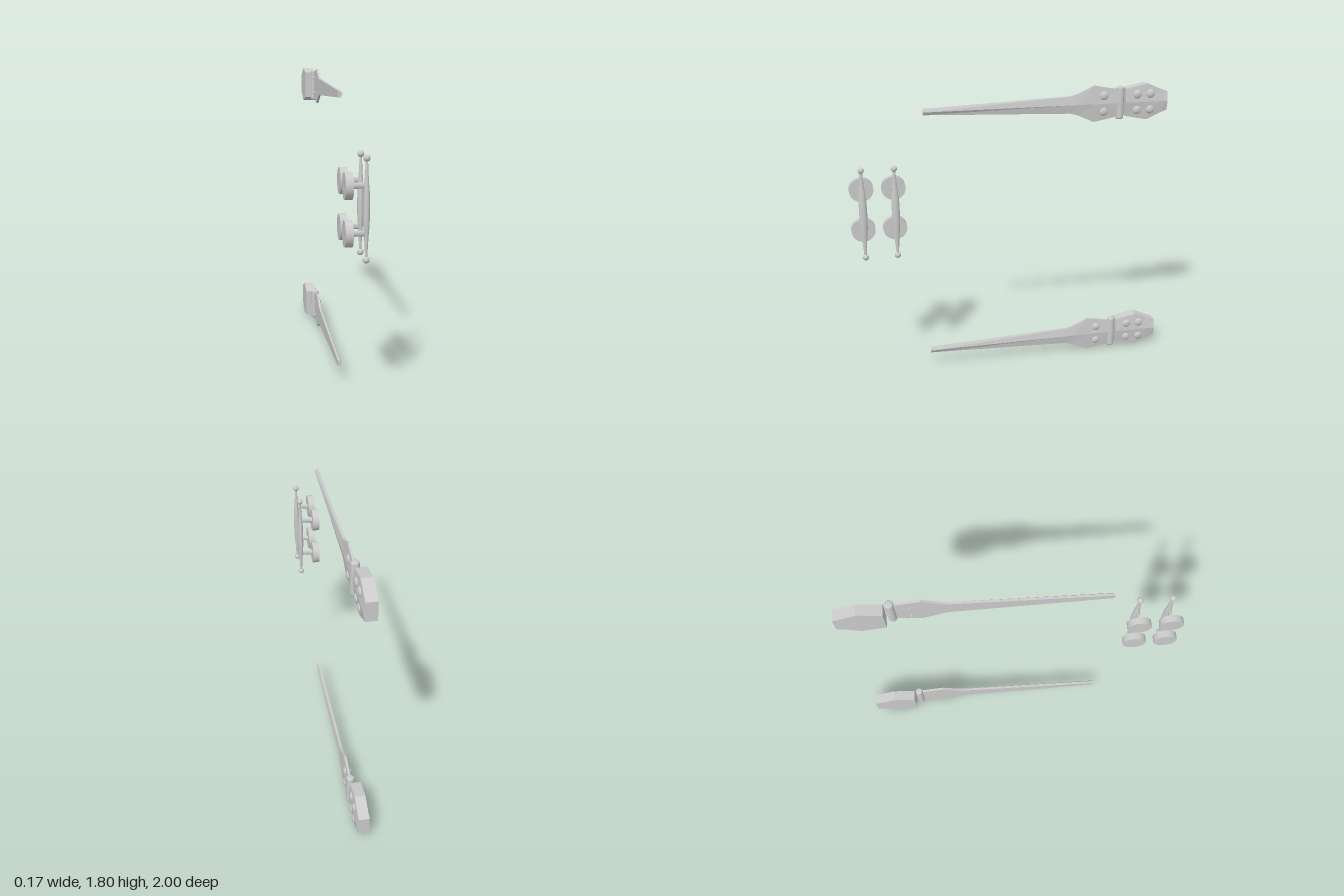
import * as THREE from 'three';

const smooth = new THREE.MeshStandardMaterial({ color: 0xcccccc });
const flat = new THREE.MeshStandardMaterial({ color: 0xcccccc, flatShading: true });

function add(parent, name, geometry, material, x = 0, y = 0, z = 0) {
  const mesh = new THREE.Mesh(geometry, material);
  mesh.name = name;
  mesh.position.set(x, y, z);
  parent.add(mesh);
  return mesh;
}

function lathe(points, segments = 32) {
  return new THREE.LatheGeometry(points.map(([r, y]) => new THREE.Vector2(r, y)), segments);
}

// Loft of [z, halfHeight] stations: flat back, front rising to a low central ridge
function ridgedPlate(stations, back, edge, ridge) {
  const rings = stations.map(([z, h]) => [
    [back, -h, z], [edge, -h, z], [ridge, 0, z], [edge, h, z], [back, h, z], [back, 0, z],
  ]);
  const pos = [];
  const tri = (a, b, c) => pos.push(...a, ...b, ...c);
  for (let i = 0; i < rings.length - 1; i++) {
    const a = rings[i], b = rings[i + 1];
    for (let j = 0; j < 6; j++) {
      const k = (j + 1) % 6;
      tri(a[j], a[k], b[k]);
      tri(a[j], b[k], b[j]);
    }
  }
  // End caps; stations run from +z to -z
  const first = rings[0], last = rings[rings.length - 1];
  for (let j = 0; j < 5; j++) {
    tri(first[5], first[(j + 1) % 6], first[j]);
    tri(last[5], last[j], last[(j + 1) % 6]);
  }
  // Reverse the winding where needed so that faces look outward
  let volume = 0;
  const p = (i) => new THREE.Vector3(pos[i], pos[i + 1], pos[i + 2]);
  for (let i = 0; i < pos.length; i += 9) volume += p(i).dot(p(i + 3).cross(p(i + 6)));
  if (volume < 0) {
    for (let i = 0; i < pos.length; i += 9) {
      for (let c = 0; c < 3; c++) [pos[i + 3 + c], pos[i + 6 + c]] = [pos[i + 6 + c], pos[i + 3 + c]];
    }
  }
  const g = new THREE.BufferGeometry();
  g.setAttribute('position', new THREE.Float32BufferAttribute(pos, 3));
  g.computeVertexNormals();
  return g;
}

function createHinge(name, y) {
  const hinge = new THREE.Group();
  hinge.name = name;
  hinge.position.y = y;

  // Long tapering strap and thick frame block
  add(hinge, 'hingeStrap', ridgedPlate(
    [[0.54, 0.018], [-0.37, 0.053], [-0.42, 0.067], [-0.52, 0.113], [-0.675, 0.085]],
    -0.032, -0.018, -0.008), flat);
  add(hinge, 'hingeBlock', ridgedPlate(
    [[-0.725, 0.085], [-0.865, 0.113], [-0.955, 0.074], [-1, 0.058]],
    -0.085, -0.019, -0.008), flat);

  // Knuckle barrel with rounded ends
  add(hinge, 'hingeBarrel', lathe([
    [0, -0.103], [0.016, -0.102], [0.022, -0.098], [0.025, -0.09],
    [0.025, 0.09], [0.022, 0.098], [0.016, 0.102], [0, 0.103],
  ], 24), smooth, -0.026, 0, -0.69);

  // Domed rivets, with shanks showing behind the strap
  const dome = new THREE.SphereGeometry(0.027, 20, 8, 0, Math.PI * 2, 0, Math.PI / 2);
  dome.scale(1, 0.52, 1).rotateZ(-Math.PI / 2);
  const shank = new THREE.CylinderGeometry(0.005, 0.005, 0.036, 10);
  shank.rotateZ(Math.PI / 2);
  for (const z of [-0.583, -0.8, -0.887]) {
    for (const side of [-1, 1]) {
      add(hinge, 'rivet', dome, smooth, -0.015, side * 0.049, z);
      if (z > -0.7) add(hinge, 'rivetShank', shank, smooth, -0.034, side * 0.049, z);
    }
  }
  return hinge;
}

function createHandle(name, z) {
  const handle = new THREE.Group();
  handle.name = name;
  handle.position.set(0, 1.104, z);

  // Swelling grip, slightly flattened towards the door
  const half = [[0.024, 0], [0.0235, 0.05], [0.022, 0.09], [0.018, 0.125], [0.014, 0.17], [0.0105, 0.22], [0.008, 0.27]];
  const profile = [...half.slice(1).reverse().map(([r, y]) => [r, -y]), ...half];
  const grip = lathe(profile, 24);
  grip.scale(0.75, 1, 1);
  add(handle, 'grip', grip, smooth, 0.065);

  for (const side of [-1, 1]) {
    add(handle, 'endBall', new THREE.SphereGeometry(0.019, 20, 14), smooth, 0.065, side * 0.273, 0);

    // Tapering standoff between rosette and grip
    const post = lathe([[0.02, -0.016], [0.018, -0.004], [0.016, 0.02], [0.016, 0.062]], 20);
    post.rotateZ(-Math.PI / 2);
    const p = post.attributes.position;
    for (let i = 0; i < p.count; i++) {
      const t = THREE.MathUtils.clamp((p.getX(i) + 0.016) / 0.05, 0, 1);
      p.setZ(i, p.getZ(i) * THREE.MathUtils.lerp(0.85, 0.4, t));
    }
    post.computeVertexNormals();
    add(handle, 'post', post, smooth, 0, side * 0.128, 0);

    // Round rosette
    const rosette = new THREE.CylinderGeometry(0.073, 0.073, 0.042, 36);
    rosette.rotateZ(-Math.PI / 2);
    add(handle, 'rosette', rosette, smooth, -0.034, side * 0.128, 0);
  }
  return handle;
}

export function createModel() {
  const model = new THREE.Group();
  model.name = 'doorHardware';
  model.add(createHinge('lowerHinge', 0.113), createHinge('upperHinge', 1.687));
  model.add(createHandle('frontHandle', 0.927), createHandle('rearHandle', 0.733));
  return model;
}
